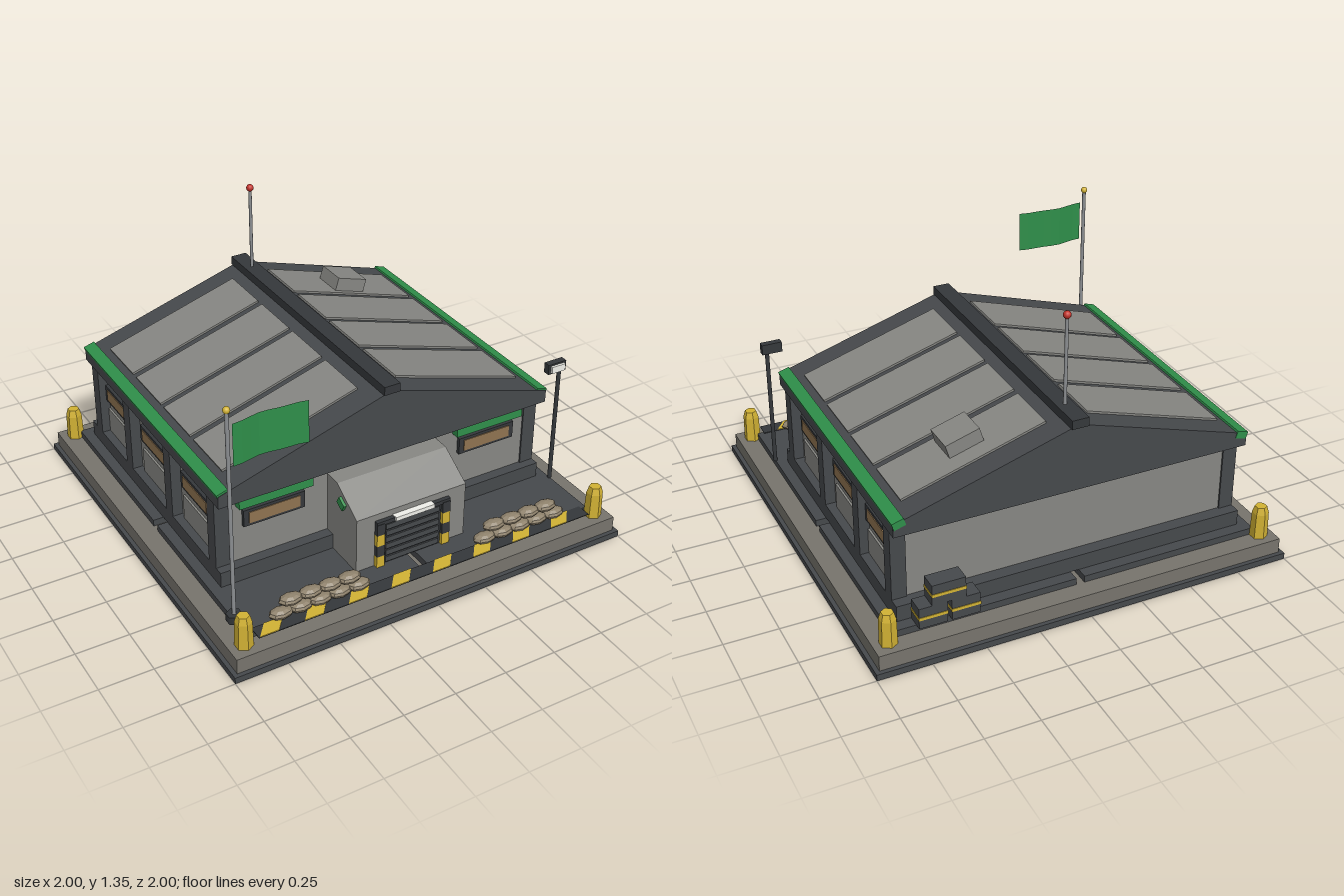
import * as THREE from 'three';

const mat = (color, flat = false, side = THREE.FrontSide) =>
  new THREE.MeshStandardMaterial({ color, flatShading: flat, side });
const DARK = mat(0x46494c), DARKER = mat(0x35383b), BASE = mat(0x77746d), WALL = mat(0x878783);
const GREEN = mat(0x2f8f4a), YELLOW = mat(0xd2b234), GLASS = mat(0x8f7350), LIGHT = mat(0xf0f0ea);
const METAL = mat(0x8c8f92), RED = mat(0xc03028), BAG = mat(0x8f826c, true), HEX = mat(0xd2b234, true);

export function createModel() {
  const root = new THREE.Group();
  const add = (name, geo, m, parent = root) => {
    const mesh = new THREE.Mesh(geo, m);
    mesh.name = name;
    parent.add(mesh);
    return mesh;
  };
  // box from its extents on each axis
  const box = (name, m, x0, x1, y0, y1, z0, z1, parent) => {
    const b = add(name, new THREE.BoxGeometry(x1 - x0, y1 - y0, z1 - z0), m, parent);
    b.position.set((x0 + x1) / 2, (y0 + y1) / 2, (z0 + z1) / 2);
    return b;
  };
  const cyl = (name, m, r, x, z, y0, y1, sides = 12) => {
    const c = add(name, new THREE.CylinderGeometry(r, r, y1 - y0, sides), m);
    c.position.set(x, (y0 + y1) / 2, z);
    return c;
  };
  const ball = (name, m, r, x, y, z) => add(name, new THREE.SphereGeometry(r, 12, 8), m).position.set(x, y, z);
  const prism = (pts, depth) => new THREE.ExtrudeGeometry(
    new THREE.Shape(pts.map(p => new THREE.Vector2(...p))), { depth, bevelEnabled: false });

  // stepped base and four paving slabs with gaps between
  box('baseFoot', DARK, -1, 1, 0, 0.03, -1, 1);
  box('baseSlab', BASE, -0.98, 0.98, 0.03, 0.103, -0.98, 0.98);
  for (const [x0, x1] of [[-0.89, -0.02], [0.02, 0.89]])
    for (const [z0, z1] of [[-0.89, -0.023], [0.02, 0.885]])
      box('pavingSlab', DARK, x0, x1, 0.103, 0.135, z0, z1);

  // hazard strip along the front
  box('hazardStrip', DARKER, -0.855, 0.86, 0.135, 0.139, 0.87, 0.94);
  for (let i = 0; i < 8; i++) {
    const a = -0.85 + i * 0.2135, w = 0.09, s = 0.055;
    const stripe = add('hazardStripe', prism([[a, -0.94], [a + w, -0.94], [a + w + s, -0.87], [a + s, -0.87]], 0.003), YELLOW);
    stripe.rotation.x = -Math.PI / 2;
    stripe.position.y = 0.139;
  }

  // main walls, plinth
  box('walls', WALL, -0.79, 0.79, 0.135, 0.57, -0.775, 0.515);
  box('plinth', DARK, -0.84, 0.84, 0.135, 0.21, -0.835, 0.565);

  // window with frame; built facing +z about its own centre
  const windowUnit = (w, x, y, z, turn) => {
    const g = new THREE.Group();
    g.name = 'window';
    box('windowFrame', DARKER, -w / 2, w / 2, -0.042, 0.042, -0.01, 0.018, g);
    box('windowGlass', GLASS, -w / 2 + 0.025, w / 2 - 0.025, -0.028, 0.028, 0, 0.022, g);
    g.position.set(x, y, z);
    g.rotation.y = turn;
    root.add(g);
  };

  for (const s of [-1, 1]) {
    const sideBox = (name, m, xa, xb, ...rest) => box(name, m, Math.min(s * xa, s * xb), Math.max(s * xa, s * xb), ...rest);
    // side pillars, windows and lower panels
    for (const z of [0.488, 0.053, -0.385, -0.748])
      sideBox('pillar', DARK, 0.77, 0.84, 0.135, 0.57, z - 0.035, z + 0.035);
    for (const z of [0.267, -0.165, -0.567]) {
      windowUnit(0.285, s * 0.79, 0.43, z, s * Math.PI / 2);
      sideBox('sidePanel', WALL, 0.78, 0.8, 0.2, 0.335, z - 0.145, z + 0.145);
    }
    // front windows and awnings
    windowUnit(0.3, s * 0.555, 0.428, 0.515, 0);
    sideBox('awning', GREEN, 0.375, 0.735, 0.5, 0.54, 0.51, 0.555);
  }

  // gabled roof
  const SLOPE = Math.atan2(0.26, 0.845);
  const roofY = x => 0.88 - 0.26 / 0.845 * Math.abs(x);
  const roof = add('roof', prism([[-0.845, 0.56], [0.845, 0.56], [0.845, 0.62], [0, 0.88], [-0.845, 0.62]], 1.42), DARK);
  roof.position.z = -0.84;
  box('ridgeCap', DARKER, -0.04, 0.04, 0.868, 0.91, -0.85, 0.585);
  for (const s of [-1, 1]) {
    // a box laid on the slope
    const onRoof = (name, m, x, w, h, lift, z0, z1) => {
      const b = add(name, new THREE.BoxGeometry(w, h, z1 - z0), m);
      b.position.set(s * x, roofY(x) + lift, (z0 + z1) / 2);
      b.rotation.z = -s * SLOPE;
    };
    for (const [z0, z1] of [[-0.725, -0.46], [-0.42, -0.155], [-0.12, 0.145], [0.182, 0.455]])
      onRoof('roofPanel', WALL, 0.428, 0.695, 0.02, 0, z0, z1);
    onRoof('eaveTrim', GREEN, 0.819, 0.056, 0.035, -0.008, -0.843, 0.578);
    if (s > 0) {
      onRoof('roofVent', WALL, 0.433, 0.165, 0.07, 0.043, -0.64, -0.485);
    }
  }

  // roof mast
  cyl('mast', METAL, 0.008, 0, -0.706, 0.9, 1.32);
  ball('mastLight', RED, 0.018, 0, 1.327, -0.706);

  // entrance porch with a sloped brow; profile drawn as (-z, y)
  const porch = add('porch', prism([[-0.765, 0.135], [-0.5, 0.135], [-0.5, 0.508], [-0.6, 0.508], [-0.765, 0.408]], 0.564), WALL);
  porch.rotation.y = Math.PI / 2;
  porch.position.x = -0.282;
  for (const s of [-1, 1]) {
    const badge = add('porchMarker', new THREE.BoxGeometry(0.02, 0.04, 0.05), GREEN);
    badge.position.set(s * 0.285, 0.43, 0.647);
    badge.rotation.x = 0.5;
    // striped door posts
    for (let i = 0; i < 4; i++) {
      const y = 0.135 + i * 0.057;
      box('doorPost', i % 2 ? DARKER : YELLOW, s * 0.17 - 0.02, s * 0.17 + 0.02, y, y + 0.057, 0.76, 0.787);
    }
  }
  box('doorLintel', DARKER, -0.19, 0.19, 0.355, 0.375, 0.76, 0.785);
  box('doorLight', LIGHT, -0.1, 0.1, 0.36, 0.38, 0.765, 0.795);
  box('door', DARKER, -0.15, 0.15, 0.135, 0.36, 0.755, 0.77);
  for (let i = 0; i < 6; i++)
    box('doorSlat', DARK, -0.138, 0.138, 0.143 + i * 0.035, 0.169 + i * 0.035, 0.765, 0.777);

  // flagpole and folded flag
  cyl('flagBase', DARKER, 0.036, -0.89, 0.785, 0.135, 0.172, 6);
  cyl('flagPole', METAL, 0.009, -0.89, 0.785, 0.135, 1.17);
  ball('flagFinial', YELLOW, 0.016, -0.89, 1.177, 0.785);
  const cloth = new THREE.PlaneGeometry(0.345, 0.2, 8, 1);
  const p = cloth.attributes.position;
  for (let i = 0; i < p.count; i++) {
    const u = p.getX(i) / 0.345 + 0.5;
    p.setZ(i, 0.79 - 0.02 * Math.sin(u * Math.PI) + 0.004 * Math.sin(u * 12));
  }
  cloth.computeVertexNormals();
  add('flag', cloth, mat(0x2f8f4a, true, THREE.DoubleSide)).position.set(-0.698, 1.01, 0);

  // floodlight
  cyl('lampPost', DARKER, 0.01, 0.89, 0.605, 0.135, 0.74);
  box('lampHead', DARKER, 0.82, 0.917, 0.73, 0.78, 0.585, 0.618);
  box('lampFace', LIGHT, 0.832, 0.905, 0.738, 0.772, 0.615, 0.63);

  // corner bollards
  const bollard = [[0, 0], [0.041, 0], [0.038, 0.125], [0.028, 0.158], [0, 0.158]].map(q => new THREE.Vector2(...q));
  for (const x of [-0.91, 0.91])
    for (const z of [-0.91, 0.91])
      add('bollard', new THREE.LatheGeometry(bollard, 6), HEX).position.set(x, 0.103, z);

  // sandbag rows, five below and four above
  const bag = new THREE.SphereGeometry(1, 8, 6);
  for (const s of [-1, 1])
    for (const [count, y, start] of [[5, 0.157, 0.33], [4, 0.212, 0.377]])
      for (let i = 0; i < count; i++) {
        const b = add('sandbag', bag, BAG);
        b.scale.set(0.058, 0.024, 0.037);
        b.position.set(s * (start + i * 0.095), y, 0.863);
      }

  // stacked crates at the back
  for (const [x0, x1, y] of [[0.495, 0.625, 0.135], [0.645, 0.775, 0.135], [0.56, 0.715, 0.235]]) {
    box('crate', DARK, x0, x1, y, y + 0.1, -0.922, -0.84);
    box('crateBand', YELLOW, x0 - 0.002, x1 + 0.002, y + 0.042, y + 0.056, -0.925, -0.838);
  }
  return root;
}
